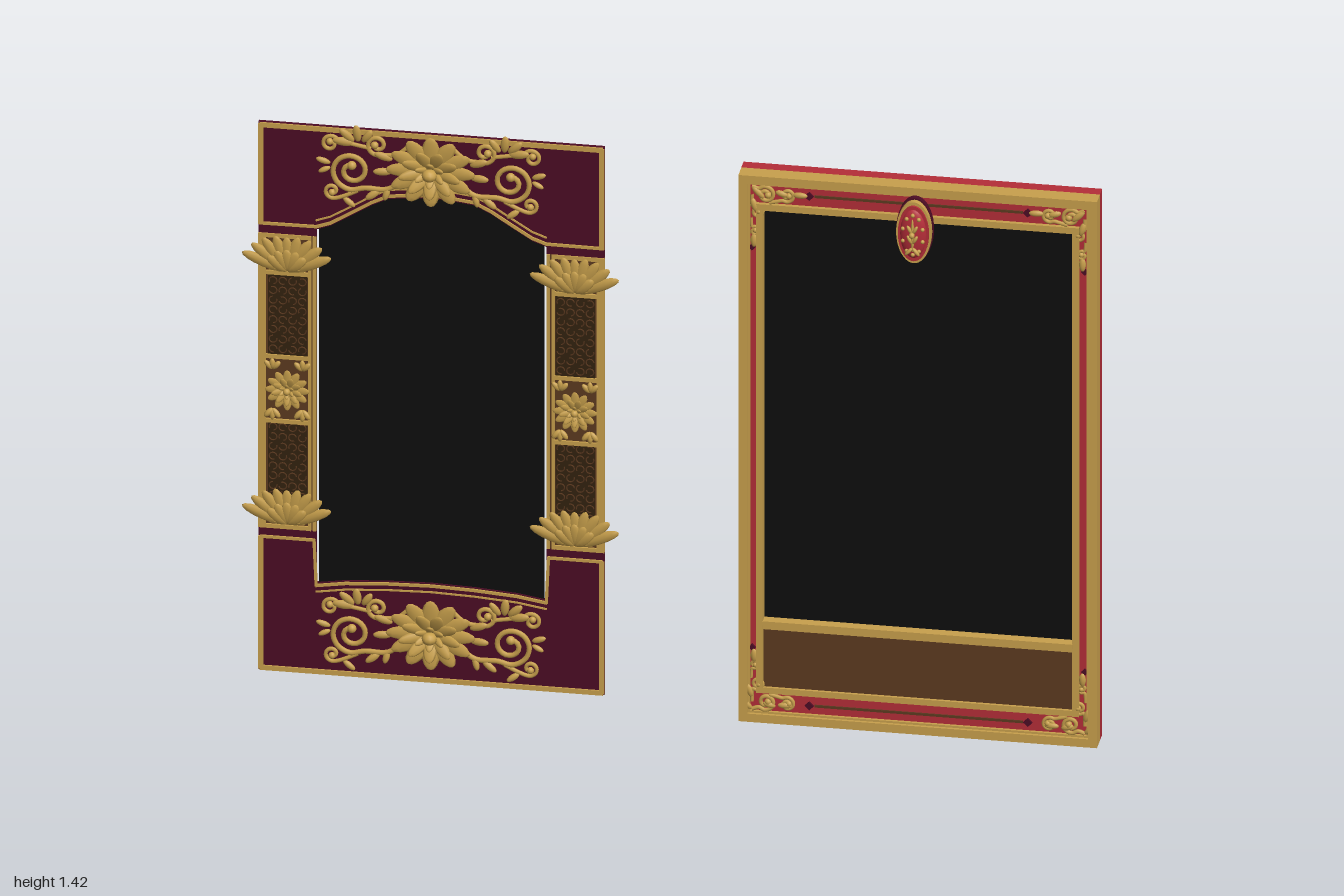
import * as THREE from 'three';
import { mergeGeometries } from 'three/addons/utils/BufferGeometryUtils.js';

const paint = (name, color) => {
  const m = new THREE.MeshStandardMaterial({ color });
  m.name = name;
  return m;
};
const gold = paint('gold', 0xc8a04c), maroon = paint('maroon', 0x4c0c24), red = paint('red', 0xb42d38);
const black = paint('black', 0x0d0d0d), brown = paint('brown', 0x5c3a20), darkBrown = paint('darkBrown', 0x33220f);

function add(parent, name, geo, mat) {
  const m = new THREE.Mesh(Array.isArray(geo) ? mergeGeometries(geo) : geo, mat);
  m.name = name;
  parent.add(m);
  return m;
}
// Box given by its limits
const block = (x0, x1, y0, y1, z0, z1) =>
  new THREE.BoxGeometry(Math.abs(x1 - x0), y1 - y0, z1 - z0).translate((x0 + x1) / 2, (y0 + y1) / 2, (z0 + z1) / 2);
const slab = (shape, z0, z1) =>
  new THREE.ExtrudeGeometry(shape, { depth: z1 - z0, bevelEnabled: false }).translate(0, 0, z0);
const rect = (C, x0, x1, y0, y1) =>
  new C([[x0, y0], [x1, y0], [x1, y1], [x0, y1]].map(p => new THREE.Vector2(...p)));
// Rectangular ring: outer limits, hole limits, depth
function ring(o, h, z0, z1) {
  const s = rect(THREE.Shape, ...o);
  s.holes.push(rect(THREE.Path, ...h));
  return slab(s, z0, z1);
}
// Thin bars along a list of points
function trim(pts, w, z0, z1) {
  return pts.slice(1).map((b, i) => {
    const a = pts[i], dx = b[0] - a[0], dy = b[1] - a[1];
    return new THREE.BoxGeometry(Math.hypot(dx, dy) + w * 0.5, w, z1 - z0)
      .rotateZ(Math.atan2(dy, dx)).translate((a[0] + b[0]) / 2, (a[1] + b[1]) / 2, (z0 + z1) / 2);
  });
}
const ball = (r, x, y, z, flat = 1) => new THREE.SphereGeometry(r, 10, 8).scale(1, 1, flat).translate(x, y, z);
// Leaf growing from its base, turned by rot and lifted by tilt
const petal = (len, w, x, y, z, rot, tilt = 0.12, thick = 0.012) =>
  new THREE.SphereGeometry(1, 8, 8).scale(w / 2, len / 2, thick / 2).translate(0, len / 2, 0)
    .rotateX(tilt).rotateZ(rot).translate(x, y, z);
// Rings of petals that stand up towards the centre
function flower(x, y, z, r, sy = 0.85) {
  const parts = [ball(r * 0.17, 0, 0, r * 0.26)];
  for (const [n, len, tilt] of [[12, 1, 0.1], [9, 0.75, 0.4], [6, 0.48, 0.75]])
    for (let i = 0; i < n; i++)
      parts.push(petal(r * len, r * len * 0.42, 0, 0, 0, (i + (n % 2) / 2) / n * 2 * Math.PI, tilt, r * 0.12));
  return parts.map(g => g.scale(1, sy, 1).translate(x, y, z));
}
// Curled tube with an optional stem, ending in a bead
function scroll(ox, oy, z, sx, sy, stem, cx, cy, r, a0, turns, tube) {
  const pts = stem.map(p => [...p]);
  for (let i = 0; i <= 14; i++) {
    const k = r * (1 - 0.75 * i / 14), a = a0 + turns * 2 * Math.PI * i / 14;
    pts.push([cx + k * Math.cos(a), cy + k * Math.sin(a)]);
  }
  const v = pts.map(p => new THREE.Vector3(ox + sx * p[0], oy + sy * p[1], z));
  const end = v[v.length - 1];
  return [new THREE.TubeGeometry(new THREE.CatmullRomCurve3(v), 48, tube, 6), ball(tube * 1.7, end.x, end.y, z)];
}

// Flower with scrolls and leaves to either side
function crest(parent, name, y) {
  const z = -0.078, parts = flower(0, y, -0.078, 0.105);
  for (const s of [-1, 1]) {
    parts.push(
      ...scroll(0, y, z, s, 1, [[0.06, -0.02], [0.1, -0.055]], 0.185, -0.015, 0.052, -2.2, 1.6, 0.0065),
      ...scroll(0, y, z, s, 1, [[0.05, 0.06], [0.08, 0.035]], 0.125, 0.055, 0.027, -2, 1.3, 0.0055),
      ...scroll(0, y, z, s, 1, [[0.17, -0.065], [0.2, -0.08]], 0.23, -0.07, 0.02, -2, 1.1, 0.005),
      ...scroll(0, y, z, s, 1, [[0.14, 0.045]], 0.235, 0.05, 0.022, 2.6, -1.2, 0.005));
    for (const [x, dy, rot, len] of [[0.16, 0.06, 0.6, 0.04], [0.17, 0.06, -0.1, 0.045], [0.18, 0.06, -0.8, 0.045],
      [0.18, 0.055, -1.4, 0.05], [0.235, 0.0, -1.2, 0.035], [0.235, -0.01, -2, 0.03], [0.1, -0.05, -2.9, 0.035],
      [0.12, -0.06, -2.2, 0.04], [0.205, -0.085, 2.2, 0.035], [0.09, 0.02, -1.2, 0.045], [0.09, -0.01, -1.6, 0.045]])
      parts.push(petal(len, len * 0.45, s * x, y + dy, z, s * rot));
  }
  add(parent, name, parts, gold);
}

function ornatePanel() {
  const g = new THREE.Group();
  g.name = 'ornatePanel';
  g.position.x = -0.567;
  const zb = -0.09, zf = -0.08, W = 0.403, I = 0.268;
  const mirror = half => [...half, ...half.slice(0, -1).reverse().map(p => [-p[0], p[1]])];
  const arch = mirror([[I, 1.138], [0.235, 1.15], [0.19, 1.178], [0.14, 1.21], [0.1, 1.23], [0.05, 1.236], [0, 1.24]]);
  const sill = mirror([[I, 0.232], [0.2, 0.243], [0.1, 0.25], [0, 0.253]]);
  const outline = pts => new THREE.Shape(pts.map(p => new THREE.Vector2(...p)));
  // Maroon head and foot with gold trim
  add(g, 'headPanel', slab(outline([[-W, 1.12], [-W, 1.403], [W, 1.403], [W, 1.12], [I, 1.12], ...arch, [-I, 1.12]]), zb, zf), maroon);
  add(g, 'footPanel', slab(outline([[-W, 0.365], [-W, 0], [W, 0], [W, 0.365], [I, 0.365], ...sill, [-I, 0.365]]), zb, zf), maroon);
  const e = W - 0.006, lift = (pts, d) => pts.map(p => [p[0], p[1] + d]);
  add(g, 'headTrim', [
    ...trim([[-e, 1.145], [-e, 1.397], [e, 1.397], [e, 1.145]], 0.012, zf, -0.076),
    ...trim([[e, 1.145], ...lift(arch, 0.008), [-e, 1.145]], 0.007, zf, -0.076),
    ...trim(lift(arch, 0.024), 0.004, zf, -0.077)], gold);
  add(g, 'footTrim', [
    ...trim([[-e, 0.34], [-e, 0.006], [e, 0.006], [e, 0.34]], 0.012, zf, -0.076),
    ...trim([[e, 0.342], [I + 0.005, 0.342], ...lift(sill, -0.006), [-I - 0.005, 0.342], [-e, 0.342]], 0.007, zf, -0.076),
    ...trim(lift(sill, -0.022), 0.004, zf, -0.077)], gold);
  add(g, 'darkPane', block(-0.262, 0.262, 0.2, 1.26, -0.087, -0.084), black);
  crest(g, 'headCrest', 1.312);
  crest(g, 'footCrest', 0.125);

  for (const s of [-1, 1]) {
    // Side columns: backing, stiles, carved fields, rosette and lotus ends
    const c = s * 0.335, col = new THREE.Group();
    col.name = s < 0 ? 'rightColumn' : 'leftColumn';
    g.add(col);
    add(col, 'columnBack', block(s * I, s * 0.398, 0.362, 1.122, -0.088, -0.082), brown);
    add(col, 'columnStiles', [
      block(s * 0.398, s * W, 0.365, 1.12, zb, -0.077), block(s * 0.385, s * 0.398, 0.365, 1.12, -0.082, -0.077),
      block(s * I, s * 0.276, 0.365, 1.12, -0.083, -0.077), block(s * 0.28, s * 0.287, 0.365, 1.12, -0.082, -0.076),
      ...[0.37, 0.43, 0.64, 0.805, 1.02, 1.115].map(y => block(s * 0.28, s * 0.398, y - 0.005, y + 0.005, -0.082, -0.077))], gold);
    for (const [y0, y1] of [[0.435, 0.635], [0.81, 1.015]]) {
      add(col, 'carvedField', block(c - 0.046, c + 0.046, y0, y1, -0.082, -0.0805), darkBrown);
      const curls = [];
      for (let i = 0; i < 4; i++)
        for (let j = 0; j < 8; j++)
          curls.push(new THREE.TorusGeometry(0.009, 0.0017, 4, 10, 5)
            .rotateZ((i + j) * 1.6).translate(c - 0.034 + i * 0.0227, y0 + 0.014 + j * 0.025, -0.0803));
      add(col, 'fieldCurls', curls, brown);
    }
    add(col, 'rosette', flower(c, 0.722, -0.08, 0.052, 1), gold);
    const buds = [];
    for (const dx of [-0.035, 0.035])
      for (const [y, a] of [[0.66, Math.PI], [0.785, 0]])
        for (const k of [-0.7, 0, 0.7]) buds.push(petal(0.028, 0.014, c + dx, y - (a ? -0.012 : 0.012), -0.079, a + k));
    add(col, 'rosetteLeaves', buds, gold);
    for (const y of [0.38, 1.028]) {
      const lotus = [];
      for (let i = -4; i <= 4; i++)
        lotus.push(petal(0.09 + 0.006 * Math.abs(i), 0.03, c, y, -0.078, -i * 0.29, 0.1, 0.014));
      for (let i = -2; i <= 2; i++) lotus.push(petal(0.06, 0.028, c, y, -0.075, -i * 0.42, 0.16, 0.012));
      for (const d of [-1, 1]) lotus.push(petal(0.045, 0.016, c, y + 0.012, -0.077, d * 1.75, 0.05));
      add(col, 'lotus', lotus, gold);
    }
  }
  return g;
}

function framedCabinet() {
  const g = new THREE.Group();
  g.name = 'framedCabinet';
  const out = [0.165, 1, 0.01, 1.41], open = [0.22, 0.942, 0.258, 1.322];
  // Red body, gold mouldings and panes
  add(g, 'backBody', ring(out, open, -0.05, -0.02), red);
  add(g, 'redBand', ring([0.17, 0.995, 0.015, 1.405], open, -0.02, 0.006), red);
  add(g, 'outerMoulding', ring(out, [0.186, 0.979, 0.031, 1.389], -0.02, 0.02), gold);
  add(g, 'outerBead', ring([0.186, 0.979, 0.031, 1.389], [0.191, 0.974, 0.036, 1.384], 0, 0.013), gold);
  add(g, 'innerMoulding', ring([0.205, 0.957, 0.084, 1.337], [0.221, 0.941, 0.099, 1.321], -0.02, 0.016), gold);
  add(g, 'darkPane', block(0.215, 0.947, 0.25, 1.33, -0.04, -0.008), black);
  add(g, 'lowerPanel', block(0.219, 0.943, 0.095, 0.255, 0, 0.009), brown);
  add(g, 'crossRail', [block(0.219, 0.943, 0.247, 0.258, -0.01, 0.013), block(0.219, 0.943, 0.258, 0.269, -0.01, 0.017)], gold);

  const stripes = [], diamonds = [], scrolls = [];
  const cx = 0.5825, cy = 0.71, hw = 0.4175, hh = 0.7;
  for (const sy of [-1, 1]) {
    const y = cy + sy * (hh - 0.047);
    stripes.push(block(0.34, 0.825, y - 0.003, y + 0.003, 0.006, 0.009));
    for (const sx of [-1, 1]) {
      // Corner scrollwork
      const X = cx + sx * hw, Y = cy + sy * hh, o = [X, Y, 0.01, -sx, -sy];
      scrolls.push(
        ...scroll(...o, [[0.03, 0.03]], 0.062, 0.05, 0.022, -2.4, 1.4, 0.005),
        ...scroll(...o, [[0.07, 0.07], [0.09, 0.065]], 0.112, 0.048, 0.018, 2.2, -1.3, 0.0045),
        ...scroll(...o, [[0.03, 0.05]], 0.042, 0.095, 0.017, -2.2, 1.3, 0.0045),
        ...scroll(...o, [[0.028, 0.11]], 0.036, 0.145, 0.012, -2, 1.2, 0.004));
      for (const [x, d, a, len] of [[0.03, 0.03, -0.8, 0.04], [0.085, 0.04, -1.3, 0.03], [0.125, 0.045, -1.57, 0.035],
        [0.035, 0.15, 0, 0.035], [0.03, 0.06, -0.3, 0.035]])
        scrolls.push(petal(len, 0.016, X - sx * x, Y - sy * d, 0.011, sy < 0 ? -sx * -a * -1 * -1 : Math.PI + sx * a, 0.05));
      for (const [x, d, w] of [[0.163, 0.047, 0.01], [0.03, 0.187, 0.008]])
        diamonds.push(new THREE.BoxGeometry(w * 1.5, w * 1.5, 0.006).rotateZ(Math.PI / 4).translate(X - sx * x, Y - sy * d, 0.008));
    }
  }
  add(g, 'bandStripes', stripes, brown);
  add(g, 'bandDiamonds', diamonds, maroon);
  add(g, 'cornerScrolls', scrolls, gold);
  return g;
}

function medallion() {
  const g = new THREE.Group();
  g.name = 'medallion';
  g.position.set(0.58, 1.316, 0);
  const oval = (rx, ry, z0, z1) => new THREE.CylinderGeometry(1, 1, z1 - z0, 40)
    .rotateX(Math.PI / 2).scale(rx, ry, 1).translate(0, 0, (z0 + z1) / 2);
  // Stacked ovals with a domed jewel and beads
  add(g, 'ovalBase', oval(0.043, 0.082, 0.032, 0.046), maroon);
  add(g, 'ovalRim', oval(0.041, 0.078, 0.046, 0.06), gold);
  add(g, 'ovalField', oval(0.036, 0.07, 0.06, 0.066), red);
  add(g, 'ovalDome', new THREE.SphereGeometry(1, 24, 16).scale(0.031, 0.062, 0.014).translate(0, 0, 0.064), red);
  const beads = [];
  for (let i = 0; i < 10; i++) {
    const a = (i + 0.5) / 10 * 2 * Math.PI;
    beads.push(ball(0.005, 0.024 * Math.cos(a), 0.05 * Math.sin(a), 0.073));
  }
  for (const s of [-1, 1])
    for (const [y, a] of [[-0.02, 0.5], [0.005, 0.5], [-0.03, 2.4]]) beads.push(petal(0.025, 0.009, 0, y, 0.078, s * a, 0.1));
  beads.push(petal(0.085, 0.008, 0, -0.042, 0.077, 0, 0), ball(0.007, 0, 0.005, 0.086));
  add(g, 'jewelBeads', beads, gold);
  return g;
}

export function createModel() {
  const model = new THREE.Group();
  model.name = 'ornateFrames';
  model.add(ornatePanel(), framedCabinet(), medallion());
  return model;
}
